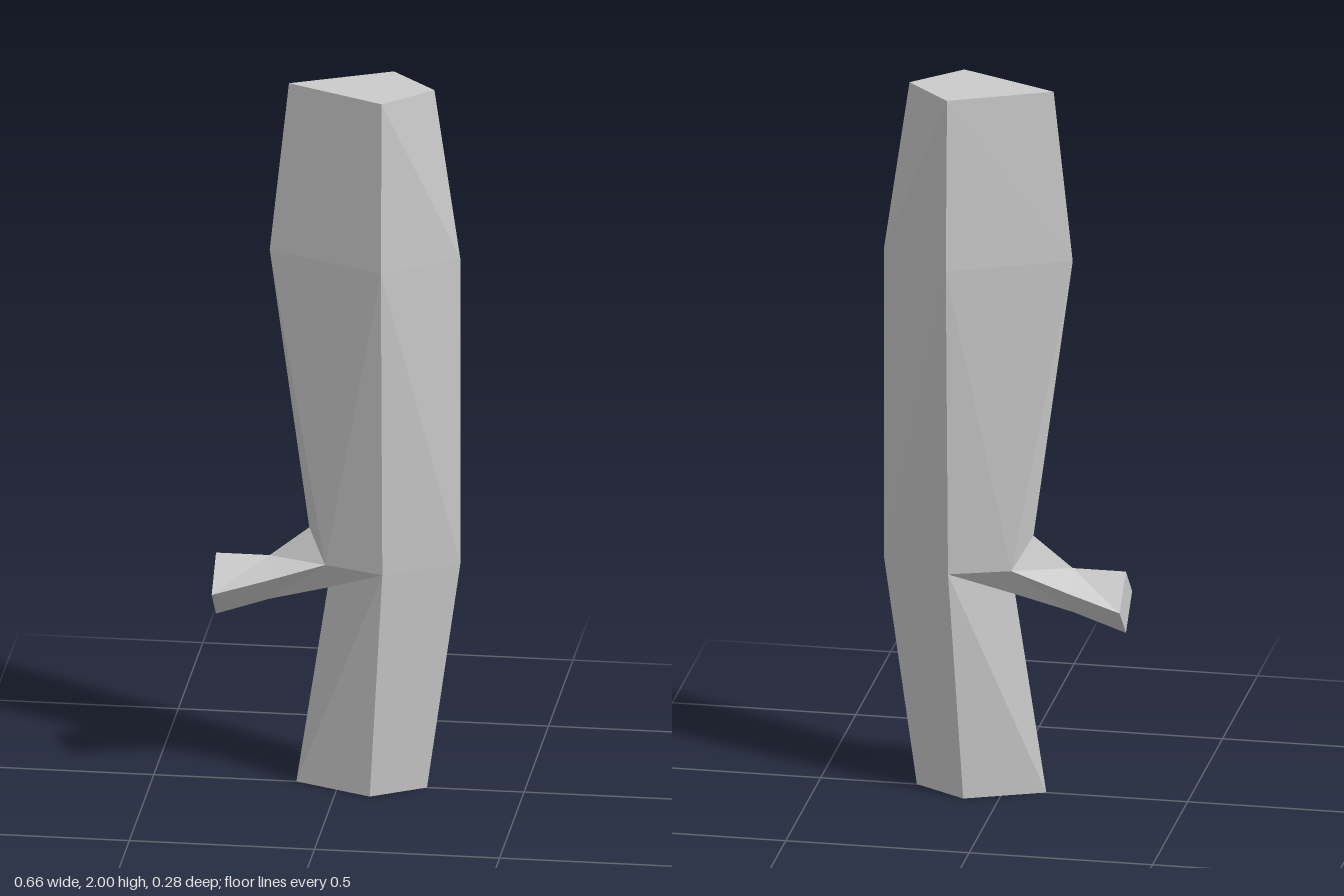
import * as THREE from 'three';

// Corner points of the front half: L = left edge, M = front ridge, R = right edge,
// T / S / B = top, side and bottom of the branch, numbered from root to tip.
const P = {
  L0: [-0.115, 0, 0], M0: [0.095, 0, 0.088], R0: [0.238, 0, 0],
  M1: [0.132, 0.645, 0.111], R1: [0.328, 0.645, 0],
  L2: [-0.187, 1.52, 0], M2: [0.132, 1.52, 0.142], R2: [0.328, 1.52, 0],
  L3: [-0.135, 2, 0], M3: [0.132, 2, 0.125], R3: [0.258, 2, 0],
  T0: [-0.08, 0.73, 0], S0: [-0.03, 0.645, 0.055], B0: [-0.03, 0.56, 0],
  T1: [-0.187, 0.645, 0], S1: [-0.187, 0.598, 0.073], B1: [-0.187, 0.52, 0],
  T2: [-0.332, 0.645, 0], S2: [-0.332, 0.557, 0.089], B2: [-0.332, 0.47, 0],
};

// Builds a faceted mesh from named triangles and their mirror image across z = 0
function mirroredMesh(name, faces) {
  const positions = [];
  for (const face of faces) {
    const corners = face.split(' ').map((key) => P[key]);
    for (const c of corners) positions.push(...c);
    for (const [x, y, z] of corners.reverse()) positions.push(x, y, -z);
  }
  const geometry = new THREE.BufferGeometry();
  geometry.setAttribute('position', new THREE.Float32BufferAttribute(positions, 3));
  geometry.computeVertexNormals();
  const material = new THREE.MeshStandardMaterial({ color: 0xcccccc, flatShading: true });
  const mesh = new THREE.Mesh(geometry, material);
  mesh.name = name;
  return mesh;
}

export function createModel() {
  const group = new THREE.Group();
  group.name = 'branchedTrunk';

  // Diamond-section trunk, open where the branch joins
  group.add(mirroredMesh('trunk', [
    'L0 R0 M0', 'L3 M3 R3', // bottom and top caps
    'L0 M0 M1', 'L0 M1 B0', 'M0 R0 R1', 'M0 R1 M1', // lower part
    'B0 M1 S0', 'S0 M1 M2', 'S0 M2 L2', 'S0 L2 T0', // around the branch root
    'M1 R1 M2', 'R1 R2 M2', // middle, right side
    'L2 M2 M3', 'L2 M3 L3', 'M2 R2 M3', 'R2 R3 M3', // upper part
  ]));

  // Short branch stub flaring towards its cut end
  group.add(mirroredMesh('branch', [
    'T1 S1 S0', 'T1 S0 T0', 'S1 B1 S0', 'B1 B0 S0', // root
    'T2 S2 T1', 'S2 S1 T1', 'S2 B2 B1', 'S2 B1 S1', // outer part
    'T2 B2 S2', // cut end
  ]));

  return group;
}
